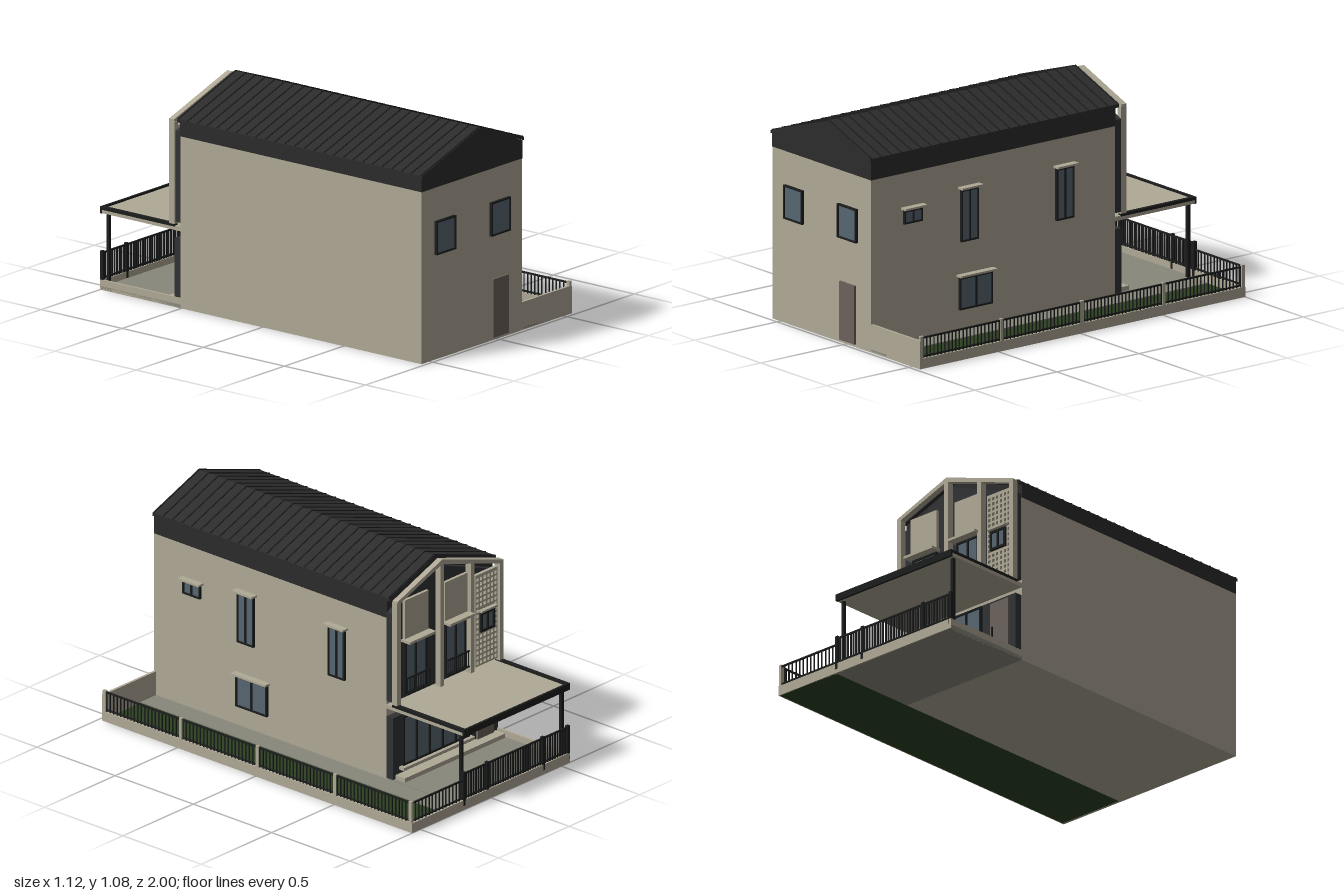
import * as THREE from 'three';

const mat = (name, color, side = THREE.FrontSide) => {
  const m = new THREE.MeshStandardMaterial({ color, side });
  m.name = name;
  return m;
};

export function createModel() {
  const root = new THREE.Group();
  root.name = 'house';
  const plaster = mat('plaster', 0xb0a996);
  const roofDark = mat('roofDark', 0x2c2c2c);
  const frameDark = mat('frameDark', 0x1c1d1d);
  const cladding = mat('cladding', 0x303234);
  const glass = mat('glass', 0x566672);
  const doorBrown = mat('doorBrown', 0x6c625b);
  const paving = mat('paving', 0x89877c);
  const grass = mat('grass', 0x2c4121);

  const group = (name, parent = root) => {
    const g = new THREE.Group();
    g.name = name;
    parent.add(g);
    return g;
  };
  const add = (name, geo, m, parent = root) => {
    const mesh = new THREE.Mesh(geo, m);
    mesh.name = name;
    parent.add(mesh);
    return mesh;
  };
  // box given by its min and max on each axis
  const box = (name, m, x0, x1, y0, y1, z0, z1, parent) => {
    const mesh = add(name, new THREE.BoxGeometry(x1 - x0, y1 - y0, z1 - z0), m, parent);
    mesh.position.set((x0 + x1) / 2, (y0 + y1) / 2, (z0 + z1) / 2);
    return mesh;
  };
  // polygon in the x-y plane pushed from z0 to z1
  const slab = (name, m, pts, z0, z1, parent, holes = []) => {
    const s = new THREE.Shape(pts.map(p => new THREE.Vector2(...p)));
    s.holes = holes.map(h => new THREE.Path(h.map(p => new THREE.Vector2(...p))));
    const mesh = add(name, new THREE.ExtrudeGeometry(s, { depth: z1 - z0, bevelEnabled: false }), m, parent);
    mesh.position.z = z0;
    return mesh;
  };
  const rect = (x0, x1, y0, y1) => [[x0, y0], [x1, y0], [x1, y1], [x0, y1]];

  const L = -0.56, R = 0.19, RIDGE = -0.13;
  const roofY = x => x < RIDGE ? 0.932 + (x - L) / (RIDGE - L) * 0.143 : 0.957 + (R - x) / (R - RIDGE) * 0.118;

  // House body and gabled roof
  box('houseWalls', plaster, L, R, 0, 0.85, -0.505, 0.98);
  slab('roofBand', roofDark, [[L, 0.85], [R, 0.85], [R, 0.94], [RIDGE, 1.06], [L, 0.917]], -0.507, 0.981);
  const roof = group('roof');
  slab('roofCovering', roofDark, [[L - 0.003, 0.916], [RIDGE, 1.058], [R + 0.003, 0.94],
    [R + 0.003, 0.957], [RIDGE, 1.075], [L - 0.003, 0.932]], -0.525, 0.987, roof);
  for (let i = 0; i <= 25; i++) {
    const z = -0.523 + i * 0.06;
    slab('roofSeam', frameDark, [[L - 0.002, 0.93], [RIDGE, 1.073], [R + 0.002, 0.955],
      [R + 0.002, 0.961], [RIDGE, 1.079], [L - 0.002, 0.936]], z, z + 0.006, roof);
  }

  // Window built facing +z around its own origin
  const makeWindow = (name, w, h, panes, depth = 0.015, t = 0.008) => {
    const g = group(name);
    const pw = (w - t) / panes;
    const holes = [];
    for (let i = 0; i < panes; i++) {
      const x = -w / 2 + t + i * pw;
      holes.push(rect(x, x + pw - t, -h / 2 + t, h / 2 - t).reverse());
    }
    slab('windowFrame', frameDark, rect(-w / 2, w / 2, -h / 2, h / 2), 0, depth, g, holes);
    box('windowGlass', glass, -w / 2 + t / 2, w / 2 - t / 2, -h / 2 + t / 2, h / 2 - t / 2, 0, depth * 0.5, g);
    return g;
  };

  // Front windows and door
  for (const x of [-0.39, 0.018])
    makeWindow('frontWindow', 0.143, 0.167, 1).position.set(x, 0.602, 0.98);
  box('frontDoor', doorBrown, -0.04, 0.076, 0.015, 0.304, 0.98, 0.992);

  // Side windows with canopies: z centre, bottom, top, width, panes
  for (const [z, y0, y1, w, panes] of [[0.732, 0.6, 0.667, 0.112, 2], [0.388, 0.45, 0.706, 0.106, 2],
    [-0.193, 0.45, 0.706, 0.106, 2], [0.35, 0.115, 0.274, 0.2, 2]]) {
    const win = makeWindow('sideWindow', w, y1 - y0, panes);
    win.rotation.y = Math.PI / 2;
    win.position.set(R, (y0 + y1) / 2, z);
    box('sideCanopy', plaster, R, 0.227, y1 + 0.006, y1 + 0.016, z - w / 2 - 0.011, z + w / 2 + 0.011);
  }

  // Rear facade: dark cladding, plaster frame
  const rear = group('rearFacade');
  slab('upperCladding', cladding, [[L + 0.005, 0.42], [R, 0.42], [R, 0.88], [RIDGE, 1.03], [L + 0.005, 0.87]], -0.54, -0.505, rear);
  box('lowerCladding', cladding, L + 0.005, R, 0.02, 0.34, -0.545, -0.505, rear);
  for (const x of [R - 0.012, RIDGE, -0.345, L + 0.01])
    box('facadeColumn', plaster, x - 0.013, x + 0.013, 0.41, roofY(x) - 0.02, -0.573, -0.54, rear);
  slab('gableFrame', plaster, [[L - 0.003, 0.905], [RIDGE, 1.045], [R, 0.93], [R, 0.95], [RIDGE, 1.068], [L - 0.003, 0.927]], -0.573, -0.543, rear);

  // Tall rear windows with panel, canopy and balconet
  for (const [x, w] of [[0.033, 0.185], [-0.248, 0.175]]) {
    const a = x - w / 2, b = x + w / 2;
    box('rearPanel', plaster, a + 0.008, b - 0.008, 0.73, 0.93, -0.556, -0.54, rear);
    box('rearCanopy', plaster, a, b, 0.715, 0.728, -0.597, -0.54, rear);
    const win = makeWindow('rearWindow', w - 0.03, 0.275, 2, 0.014, 0.01);
    win.rotation.y = Math.PI;
    win.position.set(x, 0.577, -0.54);
    for (const y of [0.445, 0.525])
      box('balconetRail', frameDark, a + 0.01, b - 0.01, y, y + 0.007, -0.572, -0.564, rear);
    for (let i = 0; i <= 10; i++) {
      const bx = a + 0.012 + i * (w - 0.028) / 10;
      box('balconetBar', frameDark, bx, bx + 0.004, 0.445, 0.53, -0.57, -0.566, rear);
    }
  }

  // Perforated block screen around a small window
  const holes = [];
  for (let i = 0; i < 6; i++) for (let j = 0; j < 17; j++) {
    const x = -0.531 + i * 0.0255, y = 0.43 + j * 0.027;
    if (y > 0.57 && y < 0.71 && i > 0 && i < 5) continue;
    holes.push(rect(x, x + 0.015, y, y + 0.016).reverse());
  }
  slab('blockScreen', plaster, rect(-0.538, -0.38, 0.42, 0.895), -0.558, -0.54, rear, holes);
  const small = makeWindow('screenWindow', 0.1, 0.1, 2, 0.012, 0.012);
  small.rotation.y = Math.PI;
  small.position.set(-0.459, 0.645, -0.558);
  box('screenWindowCanopy', plaster, -0.515, -0.403, 0.7, 0.71, -0.58, -0.555, rear);

  // Ground floor rear glazing, door and step
  const band = makeWindow('rearGlazing', 0.47, 0.255, 5, 0.014, 0.009);
  band.rotation.y = Math.PI;
  band.position.set(-0.105, 0.205, -0.545);
  box('rearDoor', doorBrown, -0.515, -0.4, 0.04, 0.325, -0.556, -0.545, rear);
  box('rearDoorHandle', frameDark, -0.417, -0.411, 0.14, 0.2, -0.562, -0.555, rear);
  box('rearSill', plaster, -0.36, 0.145, 0.06, 0.075, -0.575, -0.54, rear);
  box('rearStep', plaster, -0.54, 0.17, 0.015, 0.04, -0.605, -0.54, rear);

  // Porch roof and posts
  const porch = group('porch');
  box('porchRoof', plaster, L, R, 0.38, 0.402, -0.99, -0.505, porch);
  for (const x of [L, R - 0.018])
    box('porchSideTrim', frameDark, x - 0.001, x + 0.019, 0.397, 0.412, -1, -0.54, porch);
  box('porchRearTrim', frameDark, L, R, 0.378, 0.412, -1, -0.988, porch);
  for (const x of [L + 0.012, R - 0.028])
    box('porchPost', frameDark, x, x + 0.016, 0.015, 0.38, -0.972, -0.956, porch);

  // Ground, curbs and garden walls
  box('porchFloor', paving, L, R, 0, 0.018, -0.995, -0.505);
  box('lawn', grass, R, 0.555, 0, 0.01, -0.995, 0.97);
  box('gardenPath', paving, R, 0.3, 0.008, 0.015, -0.995, 0.982);
  box('sideCurb', plaster, 0.547, 0.56, 0, 0.05, -1, 0.98);
  box('rearCurb', plaster, L, 0.56, 0, 0.05, -1, -0.985);
  box('porchCurb', plaster, L, L + 0.012, 0, 0.05, -1, -0.505);
  box('frontGardenWall', plaster, R, 0.56, 0, 0.138, 0.967, 0.98);

  // Fences: a run of bars along local x from 0 to len
  const fence = (name, len, y1, step, bar) => {
    const g = group(name);
    box('bottomRail', frameDark, 0, len, 0.056, 0.063, -0.004, 0.004, g);
    box('topRail', frameDark, 0, len, y1 - 0.008, y1, -0.004, 0.004, g);
    const n = Math.round(len / step);
    for (let i = 0; i <= n; i++) {
      const x = i * len / n;
      box('fenceBar', frameDark, x - bar / 2, x + bar / 2, 0.05, y1, -0.0025, 0.0025, g);
    }
    return g;
  };
  const posts = [0.967, 0.48, -0.01, -0.505, -0.988];
  posts.forEach((z, i) => {
    box('fencePost', plaster, 0.546, 0.56, 0.04, 0.16, z - 0.009, z + 0.009);
    if (i === 4) return;
    const f = fence('sideFence', z - posts[i + 1] - 0.022, 0.155, 0.022, 0.005);
    f.rotation.y = Math.PI / 2;
    f.position.set(0.553, 0, z - 0.011);
  });
  fence('rearGardenFence', 0.36, 0.155, 0.024, 0.005).position.set(0.19, 0, -0.992);
  fence('porchFence', 0.735, 0.187, 0.0175, 0.009).position.set(-0.55, 0, -0.992);
  for (const x of [-0.552, -0.375, 0.02, 0.185])
    box('gatePost', frameDark, x - 0.008, x + 0.008, 0.02, 0.193, -1, -0.984);

  return root;
}
